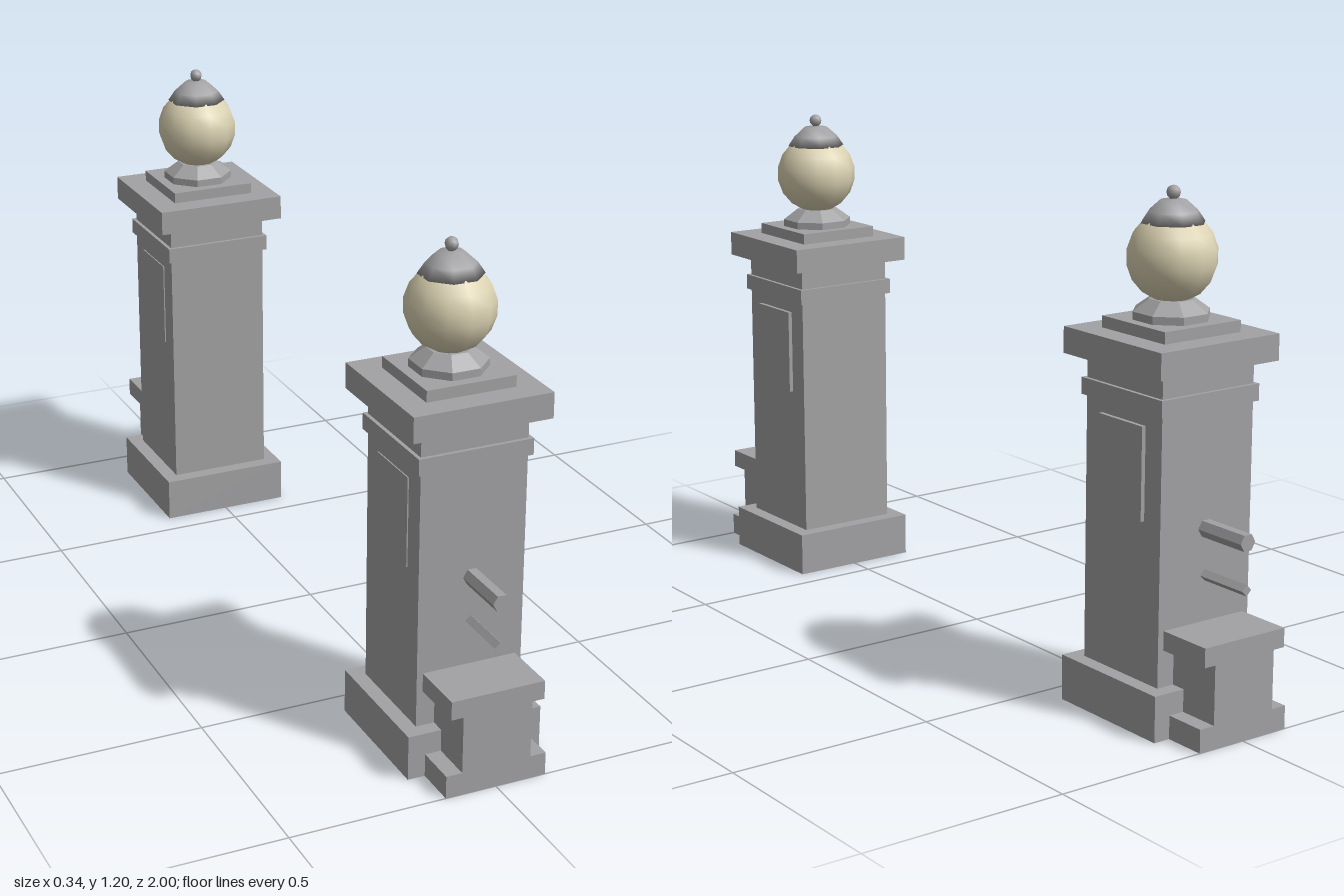
import * as THREE from 'three';

const stone = new THREE.MeshStandardMaterial({ color: 0xa2a2a4 });
stone.name = 'grey stone';
const stoneFlat = stone.clone();
stoneFlat.flatShading = true;
const glass = new THREE.MeshStandardMaterial({ color: 0xdbd2b2 });
glass.name = 'cream glass';

function add(group, name, geometry, material, x, y, z) {
  const mesh = new THREE.Mesh(geometry, material);
  mesh.name = name;
  mesh.position.set(x, y, z);
  group.add(mesh);
  return mesh;
}

// Box given by its half width, vertical range and depth range
function block(group, name, half, y0, y1, z0 = -half, z1 = half) {
  return add(group, name, new THREE.BoxGeometry(half * 2, y1 - y0, z1 - z0), stone,
    0, (y0 + y1) / 2, (z0 + z1) / 2);
}

function lathe(points, sides) {
  return new THREE.LatheGeometry(points.map(([r, y]) => new THREE.Vector2(r, y)), sides, Math.PI / 8);
}

// One gatepost centred on its own axis, with the wall side towards +z
function createPost() {
  const post = new THREE.Group();
  const wallEnd = 0.269;

  // Square pillar, stacked from the ground up
  block(post, 'pillarBase', 0.166, 0, 0.108);
  block(post, 'pillarShaft', 0.13, 0.108, 0.817);
  block(post, 'pillarBand', 0.139, 0.725, 0.764);
  block(post, 'pillarCap', 0.168, 0.817, 0.878);
  block(post, 'lampPlinth', 0.108, 0.878, 0.905);

  // Stub of the low wall
  block(post, 'wallFoot', 0.124, 0, 0.055, 0.1, wallEnd);
  block(post, 'wallBody', 0.085, 0.055, 0.194, 0.1, wallEnd);
  block(post, 'wallCoping', 0.115, 0.194, 0.239, 0.1, wallEnd);

  // Rails above the wall
  for (const [name, r, sides, y] of [['upperRail', 0.021, 6, 0.455], ['lowerRail', 0.013, 4, 0.347]]) {
    const rail = add(post, name,
      new THREE.CylinderGeometry(r, r, wallEnd - 0.12, sides, 1, false, Math.PI / 2),
      stoneFlat, 0, y, (wallEnd + 0.12) / 2);
    rail.rotation.x = Math.PI / 2;
  }

  // Lamp: collar, globe, hood and finial
  add(post, 'lampCollar', lathe([[0.089, 0.905], [0.089, 0.923], [0.052, 0.95], [0, 0.95]], 8),
    stoneFlat, 0, 0, 0);
  add(post, 'lampGlobe', new THREE.SphereGeometry(0.103, 12, 9), glass, 0, 1.043, 0);
  add(post, 'lampHood', lathe([[0, 1.118], [0.074, 1.118], [0.057, 1.143], [0.03, 1.167], [0, 1.17]], 8),
    stone, 0, 0, 0);
  add(post, 'finialStem', new THREE.CylinderGeometry(0.007, 0.009, 0.02, 8), stone, 0, 1.172, 0);
  add(post, 'finialBall', new THREE.SphereGeometry(0.016, 8, 6), stone, 0, 1.184, 0);
  return post;
}

export function createModel() {
  const model = new THREE.Group();
  model.name = 'gateposts';
  for (const side of [1, -1]) {
    const post = createPost();
    post.name = side > 0 ? 'frontGatepost' : 'backGatepost';
    post.position.z = side * 0.731;
    if (side < 0) post.rotation.y = Math.PI;
    model.add(post);

    // Name plates: raised on the left faces, nearly flush on the right faces
    add(model, 'leftPlaque', new THREE.BoxGeometry(0.01, 0.215, 0.15), stone, 0.135, 0.587, side * 0.731);
    add(model, 'rightPlaque', new THREE.BoxGeometry(0.003, 0.215, 0.15), stone, -0.1315, 0.587, side * 0.731);
  }
  return model;
}
